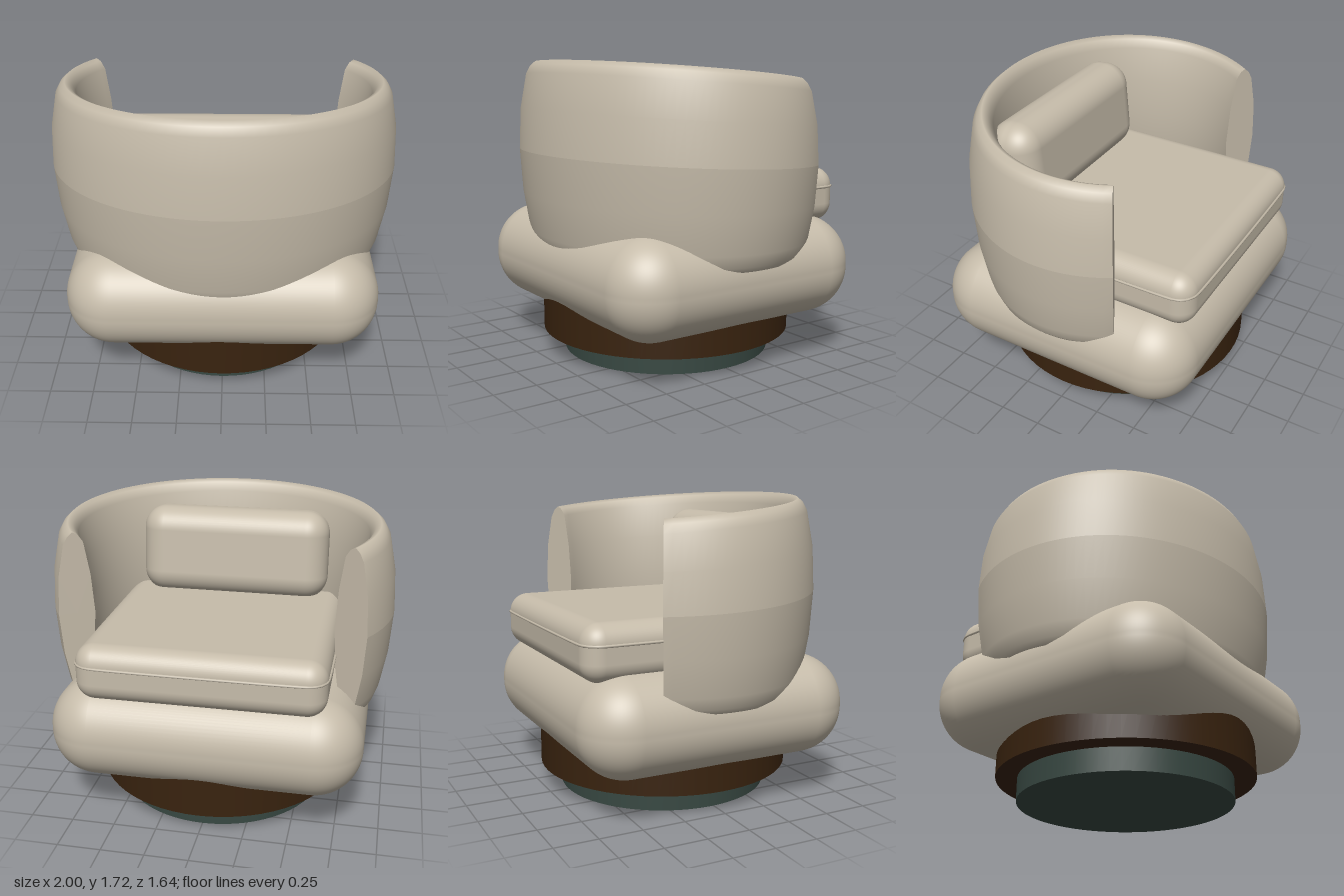
import * as THREE from 'three';
import { RoundedBoxGeometry } from 'three/addons/geometries/RoundedBoxGeometry.js';

const fabric = new THREE.MeshStandardMaterial({ name: 'beige fabric', color: 0xc6bcaa });
const wood = new THREE.MeshStandardMaterial({ name: 'dark wood', color: 0x39230f });
const metal = new THREE.MeshStandardMaterial({ name: 'dark green metal', color: 0x384842 });

// Cross-section of the wrap: u runs from the inner ellipse (0) to the outer one (1)
const PROFILE = [
  [0.5, 0.62], [0.62, 0.65], [0.74, 0.72], [0.92, 0.93], [1, 1.17],
  [1, 1.17], // doubled row makes the soft crease
  [0.94, 1.4], [0.76, 1.59], [0.64, 1.635], [0.5, 1.66], [0.36, 1.645],
  [0.22, 1.6], [0.07, 1.4], [0, 1.17], [0.08, 0.93], [0.26, 0.72], [0.38, 0.65], [0.5, 0.62],
];

function wrapPoint(t, [u, y]) {
  const z = -0.02 + (0.64 + 0.2 * u) * Math.sin(t);
  const lean = 0.089 * (y - 0.62) / 1.04; // top rises towards the back
  return [(0.79 + 0.21 * u) * Math.cos(t), y + lean * z, z];
}

function backrestGeometry() {
  const steps = 72, n = PROFILE.length;
  const t0 = -Math.PI / 6, t1 = Math.PI * 7 / 6;
  const pos = [], index = [];
  for (let i = 0; i <= steps; i++) {
    const t = t0 + (t1 - t0) * i / steps;
    PROFILE.forEach(p => pos.push(...wrapPoint(t, p)));
  }
  for (let i = 0; i < steps; i++) {
    for (let j = 0; j < n - 1; j++) {
      const a = i * n + j, b = a + 1, c = a + n, d = c + 1;
      index.push(a, b, c, b, d, c);
    }
  }
  // Flat end caps with their own vertices
  for (const [t, flip] of [[t0, true], [t1, false]]) {
    const c = pos.length / 3;
    pos.push(...wrapPoint(t, [0.5, 1.17]));
    PROFILE.forEach(p => pos.push(...wrapPoint(t, p)));
    for (let j = 1; j < n; j++) {
      index.push(c, flip ? c + j + 1 : c + j, flip ? c + j : c + j + 1);
    }
  }
  const g = new THREE.BufferGeometry();
  g.setAttribute('position', new THREE.Float32BufferAttribute(pos, 3));
  g.setIndex(index);
  g.computeVertexNormals();
  return g;
}

// Piping that follows a rounded rectangle
function pipingGeometry(hw, hd, r) {
  const pts = [];
  [[1, 1, 0], [-1, 1, 1], [-1, -1, 2], [1, -1, 3]].forEach(([sx, sz, q]) => {
    for (let k = 0; k <= 5; k++) {
      const a = (q + k / 5) * Math.PI / 2;
      pts.push(new THREE.Vector3(sx * (hw - r) + r * Math.cos(a), 0, sz * (hd - r) + r * Math.sin(a)));
    }
  });
  const path = new THREE.CatmullRomCurve3(pts, true, 'centripetal');
  return new THREE.TubeGeometry(path, 120, 0.008, 6, true);
}

export function createModel() {
  const model = new THREE.Group();
  const add = (name, geometry, material, x, y, z) => {
    const mesh = new THREE.Mesh(geometry, material);
    mesh.name = name;
    mesh.position.set(x, y, z);
    model.add(mesh);
    return mesh;
  };

  // Swivel base
  add('swivelPlate', new THREE.CylinderGeometry(0.62, 0.62, 0.13, 64), metal, 0, 0.065, -0.018);
  add('woodPlinth', new THREE.CylinderGeometry(0.745, 0.745, 0.3, 64), wood, 0, 0.28, -0.015);

  // Upholstery
  add('seatBase', new RoundedBoxGeometry(1.78, 0.575, 1.61, 10, 0.275), fabric, 0, 0.543, -0.015);
  add('seatCushion', new RoundedBoxGeometry(1.38, 0.32, 1.28, 8, 0.11), fabric, 0, 0.94, -0.14);
  add('cushionPiping', pipingGeometry(0.69, 0.64, 0.11), fabric, 0, 0.99, -0.14);
  add('backrest', backrestGeometry(), fabric, 0, 0, 0);
  const pillow = add('backPillow', new RoundedBoxGeometry(1.16, 0.54, 0.31, 8, 0.14), fabric, 0, 1.335, 0.41);
  pillow.rotation.x = 0.09;

  return model;
}
